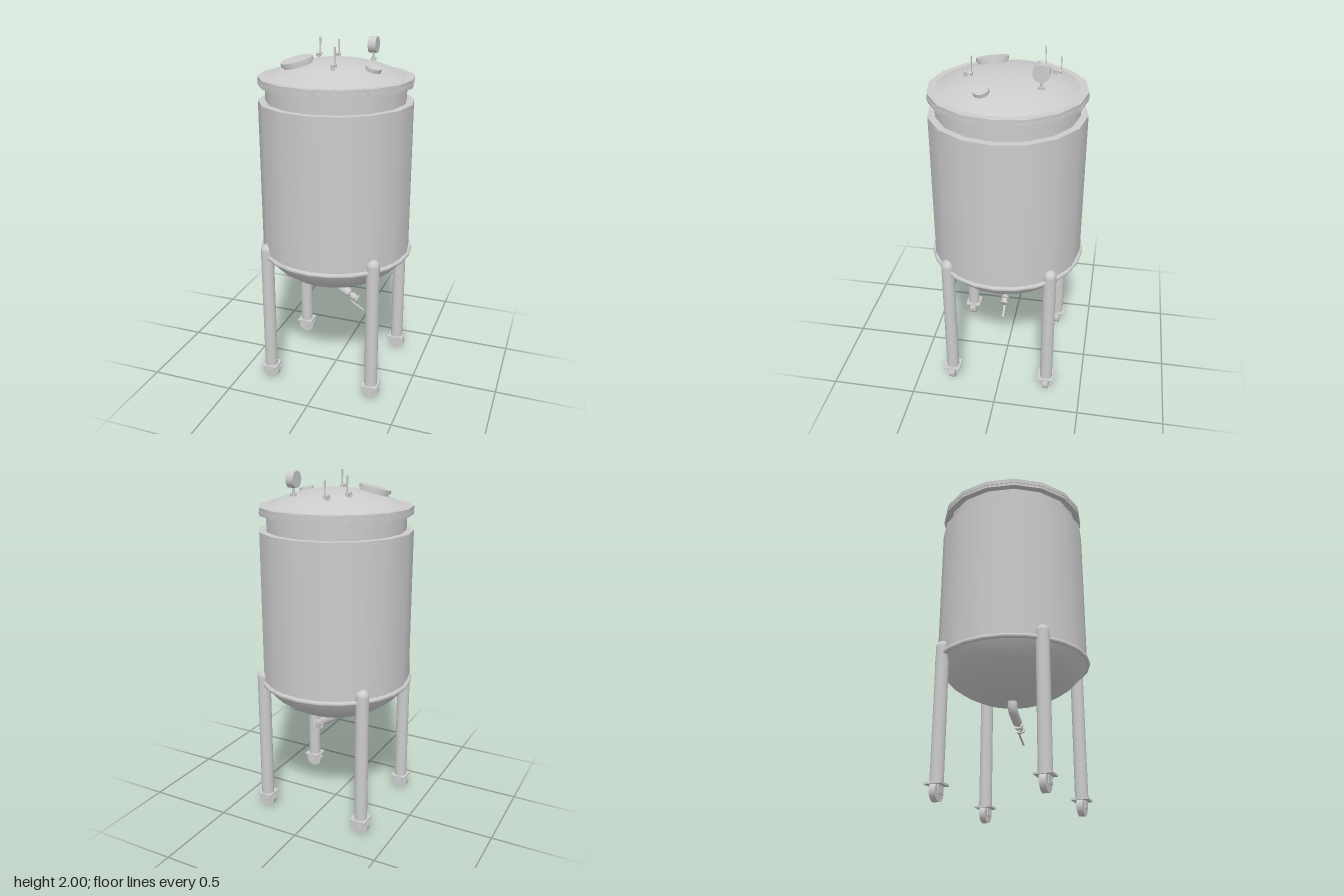
import * as THREE from 'three';

const mat = new THREE.MeshStandardMaterial({ color: 0xcccccc });
const matDouble = new THREE.MeshStandardMaterial({ color: 0xcccccc, side: THREE.DoubleSide });
const UP = new THREE.Vector3(0, 1, 0);

function add(parent, name, geo, x = 0, y = 0, z = 0, material = mat) {
  const mesh = new THREE.Mesh(geo, material);
  mesh.name = name;
  mesh.position.set(x, y, z);
  parent.add(mesh);
  return mesh;
}

const cyl = (r, h, n = 16, r2 = r) => new THREE.CylinderGeometry(r, r2, h, n);
const box = (x, y, z) => new THREE.BoxGeometry(x, y, z);
const lathe = (pts, n) => new THREE.LatheGeometry(pts.map(p => new THREE.Vector2(...p)), n);

// Lid curvature, shared by everything mounted on it
const LID_R = 0.385;
const domeY = r => 1.9 - 0.09 * Math.pow(r / LID_R, 2.2);

// A group at (x, z) on the lid, optionally tilted to its normal
function onLid(parent, name, x, z, tilt) {
  const g = new THREE.Group();
  const r = Math.hypot(x, z);
  g.name = name;
  g.position.set(x, domeY(r), z);
  if (tilt) {
    const slope = (domeY(r - 0.01) - domeY(r + 0.01)) / 0.02;
    g.quaternion.setFromUnitVectors(UP, new THREE.Vector3(slope * x / r, 1, slope * z / r).normalize());
  }
  parent.add(g);
  return g;
}

// Small clamp valve: vertical stub, side body and upright lever
function sampleValve(parent, x, z, leverTop) {
  const g = onLid(parent, 'lidValve', x, z, false);
  const y0 = g.position.y;
  add(g, 'valveStub', cyl(0.009, 0.04, 12), 0, 0, 0);
  add(g, 'valveFlange', cyl(0.013, 0.007, 12), 0, 0.012, 0);
  add(g, 'valveBall', new THREE.SphereGeometry(0.011, 12, 8), 0, 0.022, 0);
  add(g, 'valveBody', cyl(0.008, 0.034, 12), 0, 0.018, -0.017).rotation.x = Math.PI / 2;
  add(g, 'valveClamp', cyl(0.012, 0.006, 12), 0, 0.018, -0.032).rotation.x = Math.PI / 2;
  add(g, 'clampScrew', box(0.024, 0.006, 0.006), 0, 0.018, -0.016);
  const h = leverTop - y0 - 0.02;
  add(g, 'valveLever', box(0.007, h, 0.004), 0, 0.02 + h / 2, -0.031);
  add(g, 'leverGrip', box(0.011, h * 0.45, 0.006), 0, 0.02 + h * 0.775, -0.031);
}

// Leg with rounded top, mounting plate and caster
function leg(parent, sx, sz) {
  const g = new THREE.Group();
  g.name = 'leg';
  g.position.set(sx * 0.315, 0, sz * 0.29);
  parent.add(g);
  add(g, 'legTube', cyl(0.037, 0.755, 20), 0, 0.4675, 0);
  add(g, 'legCap', new THREE.SphereGeometry(0.037, 20, 8, 0, Math.PI * 2, 0, Math.PI / 2), 0, 0.845, 0);
  add(g, 'casterPlate', box(0.096, 0.01, 0.096), 0, 0.088, 0);
  add(g, 'casterWheel', cyl(0.05, 0.034, 20), 0, 0.05, 0).rotation.x = Math.PI / 2;
  add(g, 'casterAxle', cyl(0.008, 0.062, 10), 0, 0.05, 0).rotation.x = Math.PI / 2;
  for (const s of [-1, 1]) add(g, 'casterFork', box(0.054, 0.05, 0.006), 0, 0.062, s * 0.024);
}

export function createModel() {
  const model = new THREE.Group();
  model.name = 'tank';

  // Vessel
  add(model, 'body', cyl(0.43, 0.87, 16), 0, 1.243, 0);
  add(model, 'neck', cyl(0.39, 0.1, 16), 0, 1.722, 0);
  add(model, 'lidFlange', cyl(0.427, 0.044, 16), 0, 1.788, 0);
  add(model, 'flangeSeam', cyl(0.43, 0.006, 16), 0, 1.785, 0);
  add(model, 'bottomRing', new THREE.TorusGeometry(0.43, 0.014, 8, 24), 0, 0.808, 0).rotation.x = Math.PI / 2;
  add(model, 'bottomBowl', lathe([[0, 0.595], [0.07, 0.599], [0.14, 0.609], [0.22, 0.632],
    [0.3, 0.673], [0.36, 0.717], [0.4, 0.76], [0.43, 0.81]], 24), 0, 0, 0, matDouble);

  // Domed lid
  const lidProfile = [];
  for (let i = 10; i >= 0; i--) lidProfile.push([LID_R * i / 10, domeY(LID_R * i / 10)]);
  add(model, 'lidDome', lathe(lidProfile, 24), 0, 0, 0, matDouble);

  // Manway and inspection port
  const manway = onLid(model, 'manway', -0.178, 0.113, true);
  add(manway, 'manwayNeck', cyl(0.08, 0.04, 20), 0, 0, 0);
  add(manway, 'manwayCover', cyl(0.09, 0.02, 20), 0, 0.018, 0);
  const port = onLid(model, 'inspectionPort', 0.235, 0.093, true);
  add(port, 'portCover', cyl(0.042, 0.03, 18), 0, 0.004, 0);

  // Pressure gauge
  const gauge = onLid(model, 'pressureGauge', 0.15, -0.195, false);
  const gy = 1.955 - gauge.position.y;
  add(gauge, 'gaugeStem', cyl(0.008, gy, 12), 0, gy / 2, 0);
  add(gauge, 'gaugeFitting', cyl(0.016, 0.014, 12), 0, 0.01, 0);
  add(gauge, 'gaugeCase', cyl(0.045, 0.044, 24), 0, gy, 0).rotation.z = Math.PI / 2;

  sampleValve(model, -0.16, -0.147, 1.985);
  sampleValve(model, -0.08, -0.238, 1.965);
  sampleValve(model, 0.055, 0.21, 1.985);

  // Drain pipe bending sideways
  const path = new THREE.CurvePath();
  const v = (x, y) => new THREE.Vector3(x, y, 0);
  path.add(new THREE.LineCurve3(v(0, 0.62), v(0, 0.575)));
  path.add(new THREE.QuadraticBezierCurve3(v(0, 0.575), v(0, 0.547), v(0.028, 0.53)));
  path.add(new THREE.LineCurve3(v(0.028, 0.53), v(0.082, 0.497)));
  add(model, 'drainPipe', new THREE.TubeGeometry(path, 24, 0.027, 16), 0, 0, 0, matDouble);

  // Drain valve: local +y runs along the outlet
  const drain = new THREE.Group();
  drain.name = 'drainValve';
  drain.position.set(0.082, 0.497, 0);
  drain.quaternion.setFromUnitVectors(UP, new THREE.Vector3(0.054, -0.033, 0).normalize());
  model.add(drain);
  add(drain, 'drainReducer', cyl(0.014, 0.012, 16, 0.027), 0, 0.004, 0);
  add(drain, 'drainBody', cyl(0.013, 0.06, 16), 0, 0.03, 0);
  for (const y of [0.022, 0.058]) add(drain, 'drainClamp', cyl(0.025, 0.008, 16), 0, y, 0);
  add(drain, 'drainBall', new THREE.SphereGeometry(0.02, 14, 10), 0, 0.04, 0);
  add(drain, 'drainSpindle', cyl(0.006, 0.032, 10), 0.022, 0.04, 0).rotation.z = Math.PI / 2;
  add(drain, 'drainLever', box(0.004, 0.1, 0.011), 0.037, 0.084, 0);

  for (const sx of [-1, 1]) for (const sz of [-1, 1]) leg(model, sx, sz);
  return model;
}
